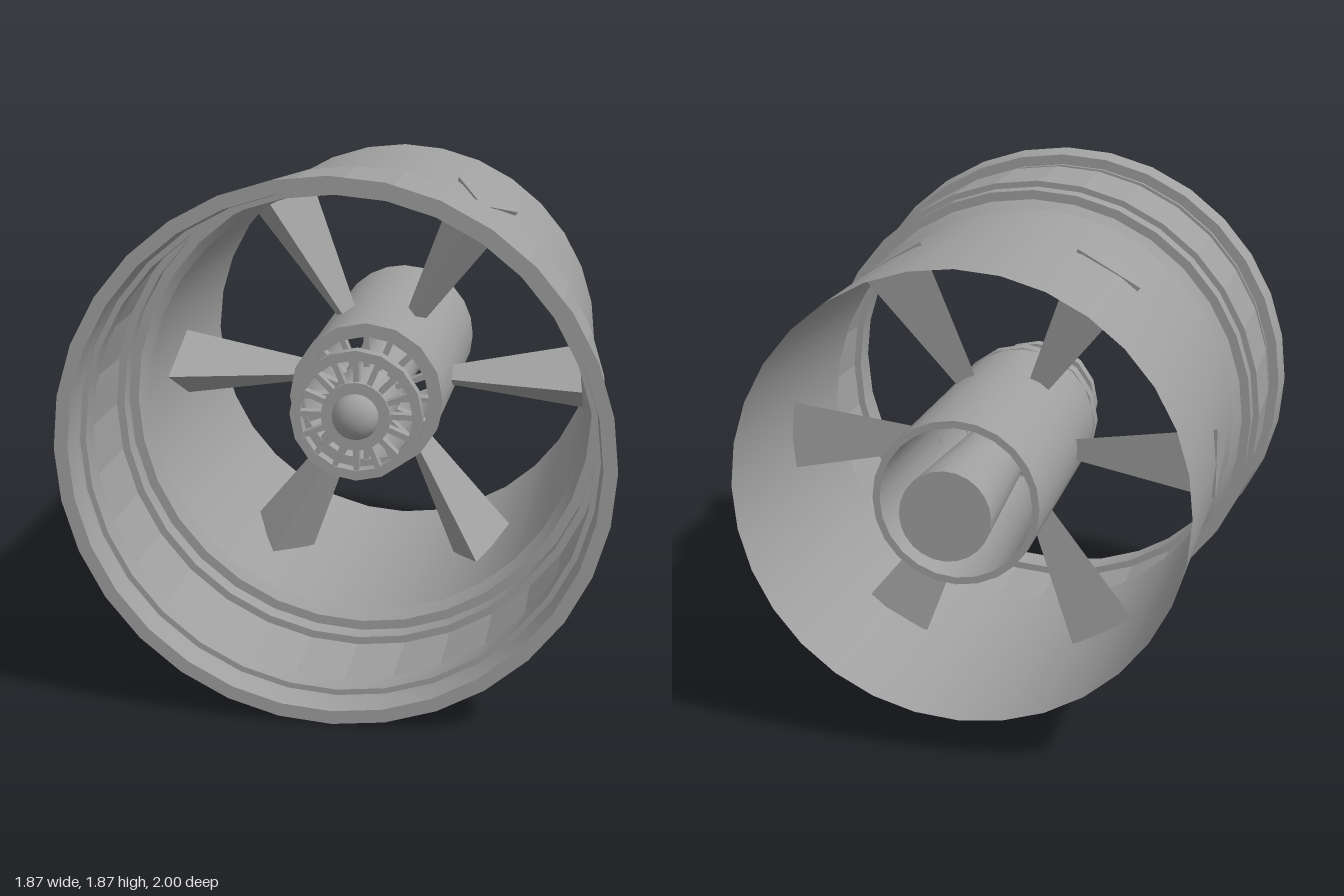
import * as THREE from 'three';
import { toCreasedNormals } from 'three/addons/utils/BufferGeometryUtils.js';

const CENTRE_Y = 0.937;

export function createModel() {
  const model = new THREE.Group();
  model.name = 'ductedFan';
  const grey = new THREE.MeshStandardMaterial({ color: 0xa0a0a0, side: THREE.DoubleSide });
  grey.name = 'grey metal';

  const add = (name, geometry, parent = model) => {
    const mesh = new THREE.Mesh(geometry, grey);
    mesh.name = name;
    parent.add(mesh);
    return mesh;
  };
  // Turned part along the z axis; profile given as [radius, z]
  const turned = (name, profile, sides, crease = 0.45) => {
    const g = new THREE.LatheGeometry(profile.map(([r, z]) => new THREE.Vector2(r, z)), sides);
    g.rotateX(Math.PI / 2);
    return add(name, toCreasedNormals(g, crease));
  };

  // Outer duct
  turned('ductShell', [[0.8, -0.86], [0.8, 0.3]], 32);
  turned('ductCollar', [[0.8, 0.3], [0.83, 0.335], [0.865, 0.335], [0.865, 0.42]], 32);
  turned('gripBand', [[0.86, 0.42], [0.888, 0.42], [0.888, 0.8], [0.86, 0.8]], 32, 0.05);
  turned('ductNeck', [[0.86, 0.8], [0.86, 0.89], [0.88, 0.89], [0.88, 0.91], [0.92, 0.91]], 32);
  turned('intakeRim', [[0.92, 0.91], [0.937, 1], [0.89, 1], [0.88, 0.91]], 32);

  // Hollow hub tube and the core running through it
  turned('hubTube', [[0.235, 0.2], [0.265, -0.865], [0.29, -0.865], [0.28, 0.16]], 24);
  turned('core', [[0, -1], [0.157, -1], [0.149, -0.86], [0.12, -0.35],
    [0.12, 0.43], [0.125, 0.43], [0.125, 0.47], [0, 0.47]], 24);

  // Domed nose
  const nose = new THREE.SphereGeometry(0.085, 24, 10, 0, Math.PI * 2, 0, Math.PI / 2);
  nose.rotateX(Math.PI / 2).scale(1, 1, 0.75).translate(0, 0, 0.465);
  add('noseDome', nose);

  // Two spoked wheels around the core
  const spokedWheel = (name, z, inner, outer, depth) => {
    turned(name + 'Ring', [[inner, z - depth], [outer, z - depth], [outer, z],
      [inner, z], [inner, z - depth]], 16);
    const spokes = new THREE.Group();
    spokes.name = name + 'Spokes';
    const length = inner - 0.1;
    for (let i = 0; i < 16; i++) {
      const g = new THREE.BoxGeometry(length, 0.02, depth * 0.8);
      g.translate(0.105 + length / 2, 0, z - depth / 2);
      g.rotateZ(i * Math.PI / 8);
      add('spoke', g, spokes);
    }
    model.add(spokes);
  };
  spokedWheel('frontWheel', 0.46, 0.205, 0.24, 0.05);
  spokedWheel('rearWheel', 0.22, 0.235, 0.285, 0.06);

  // Six tapered triangular struts, sharp edge facing forward
  const struts = new THREE.Group();
  struts.name = 'struts';
  for (let i = 0; i < 6; i++) {
    const g = new THREE.CylinderGeometry(0.173, 0.045, 0.56, 3);
    g.scale(0.87, 1, 1);
    g.translate(0, 0.522, -0.153);
    g.rotateZ(i * Math.PI / 3 + Math.PI / 2);
    add('strut', toCreasedNormals(g, 0.3), struts);
  }
  model.add(struts);

  for (const part of model.children) part.position.y += CENTRE_Y;
  return model;
}
